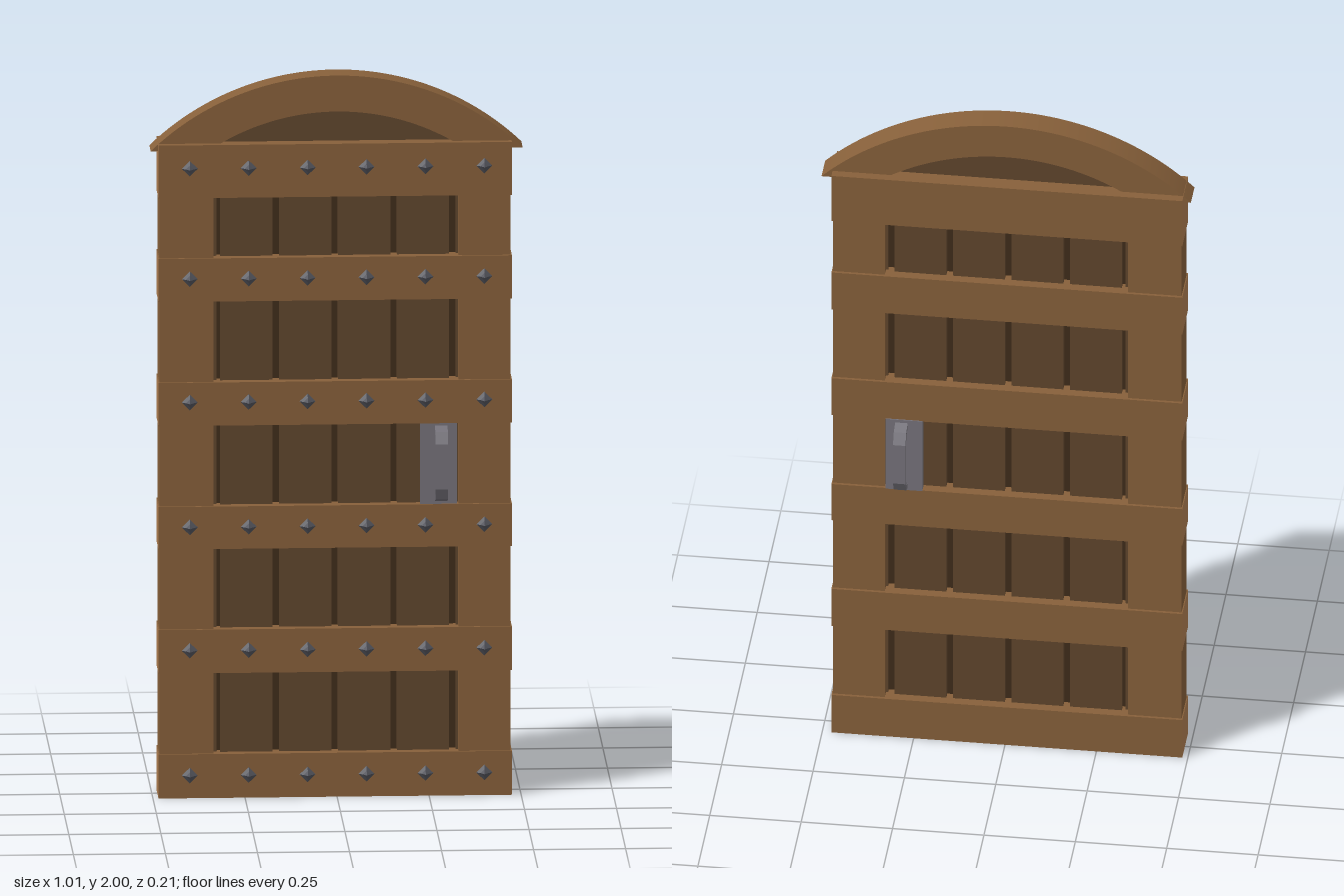
import * as THREE from 'three';
import { toCreasedNormals } from 'three/addons/utils/BufferGeometryUtils.js';

const mat = (name, color) => {
  const m = new THREE.MeshStandardMaterial({ color });
  m.name = name;
  return m;
};

export function createModel() {
  const wood = mat('wood', 0x87603a);
  const endGrain = mat('endGrain', 0xae7d51);
  const darkWood = mat('darkWood', 0x60462d);
  const groove = mat('groove', 0x402d1b);
  const steel = mat('steel', 0x76737b);
  const iron = mat('iron', 0x55565e);

  const door = new THREE.Group();
  door.name = 'door';

  const add = (name, geometry, material) => {
    const mesh = new THREE.Mesh(geometry, material);
    mesh.name = name;
    door.add(mesh);
    return mesh;
  };
  // Box given by its limits on each axis
  const box = (name, [x0, x1], [y0, y1], [z0, z1], material) => {
    const mesh = add(name, new THREE.BoxGeometry(x1 - x0, y1 - y0, z1 - z0), material);
    mesh.position.set((x0 + x1) / 2, (y0 + y1) / 2, (z0 + z1) / 2);
    return mesh;
  };
  const extrude = (name, shape, z0, z1, material) => {
    const g = new THREE.ExtrudeGeometry(shape, { depth: z1 - z0, bevelEnabled: false, curveSegments: 40 });
    g.translate(0, 0, z0);
    return add(name, toCreasedNormals(g, 0.5), material);
  };

  // Side stiles
  box('leftStile', [0.33, 0.472], [0.01, 1.805], [-0.047, 0.06], wood);
  box('rightStile', [-0.482, -0.335], [0.01, 1.805], [-0.047, 0.06], wood);

  // Cross rails with paler end grain
  const railMaterials = [endGrain, endGrain, wood, wood, wood, wood];
  const rails = [[0, 0.122], [0.347, 0.468], [0.692, 0.81], [1.035, 1.155], [1.38, 1.5], [1.668, 1.815]];
  for (const span of rails) box('rail', [-0.485, 0.475], span, [-0.055, 0.067], railMaterials);

  // Recessed planks in front of and behind a dark core that shows in the grooves
  box('grooveCore', [-0.34, 0.335], [0.05, 1.75], [-0.008, 0.02], groove);
  for (let i = 0; i < 4; i++) {
    const x = -0.325 + i * 0.16;
    box('plank', [x + 0.009, x + 0.151], [0.05, 1.75], [-0.028, 0.04], darkWood);
  }
  box('edgePlank', [-0.34, -0.326], [0.05, 1.75], [-0.022, 0.034], darkWood);
  box('edgePlank', [0.324, 0.335], [0.05, 1.75], [-0.022, 0.034], darkWood);

  // Curved head, cut flat at its feet
  const cy = 1.275, rOut = 0.725, rIn = 0.625, foot = 1.795;
  const aOut = Math.asin((foot - cy) / rOut), aIn = Math.asin((foot - cy) / rIn);
  const arch = new THREE.Shape();
  arch.absarc(0, cy, rOut, aOut, Math.PI - aOut, false);
  arch.absarc(0, cy, rIn, Math.PI - aIn, aIn, true);
  arch.closePath();
  extrude('arch', arch, -0.03, 0.046, wood);

  // Panel filling the arch
  const infill = new THREE.Shape();
  infill.absarc(0, cy, rIn + 0.01, aIn, Math.PI - aIn, false);
  infill.closePath();
  extrude('archPanel', infill, -0.01, 0.026, darkWood);

  // Pointed four-sided studs on every rail
  const studGeo = new THREE.LatheGeometry(
    [[0.023, 0], [0.011, 0.01], [0, 0.025]].map(([r, h]) => new THREE.Vector2(r, h)), 4);
  studGeo.rotateX(Math.PI / 2);
  const studFlat = toCreasedNormals(studGeo, 0.2);
  for (const y of [0.063, 0.41, 0.753, 1.1, 1.443, 1.75]) {
    for (let i = 0; i < 6; i++) {
      add('stud', studFlat, iron).position.set(-0.4 + i * 0.16, y, 0.066);
    }
  }

  // Lock plate through the door
  box('lockPlate', [0.226, 0.326], [0.81, 1.037], [-0.058, 0.062], steel);

  // Strap handles: a bent bar with chamfered corners, front and back
  const outer = [[0, 1.028], [0.03, 1.016], [0.047, 0.985], [0.047, 0.86], [0.03, 0.829], [0, 0.817]];
  const inner = [[0, 0.832], [0.023, 0.841], [0.034, 0.864], [0.034, 0.981], [0.023, 1.004], [0, 1.013]];
  const strap = new THREE.Shape([...outer, ...inner].map(([z, y]) => new THREE.Vector2(z, y)));
  const strapGeo = new THREE.ExtrudeGeometry(strap, { depth: 0.034, bevelEnabled: false });
  strapGeo.translate(0, 0, -0.017);
  for (const [name, z, turn] of [['frontHandle', 0.06, -1], ['backHandle', -0.058, 1]]) {
    const handle = add(name, strapGeo, steel);
    handle.rotation.y = turn * Math.PI / 2;
    handle.position.set(0.283, 0, z);
  }

  return door;
}
